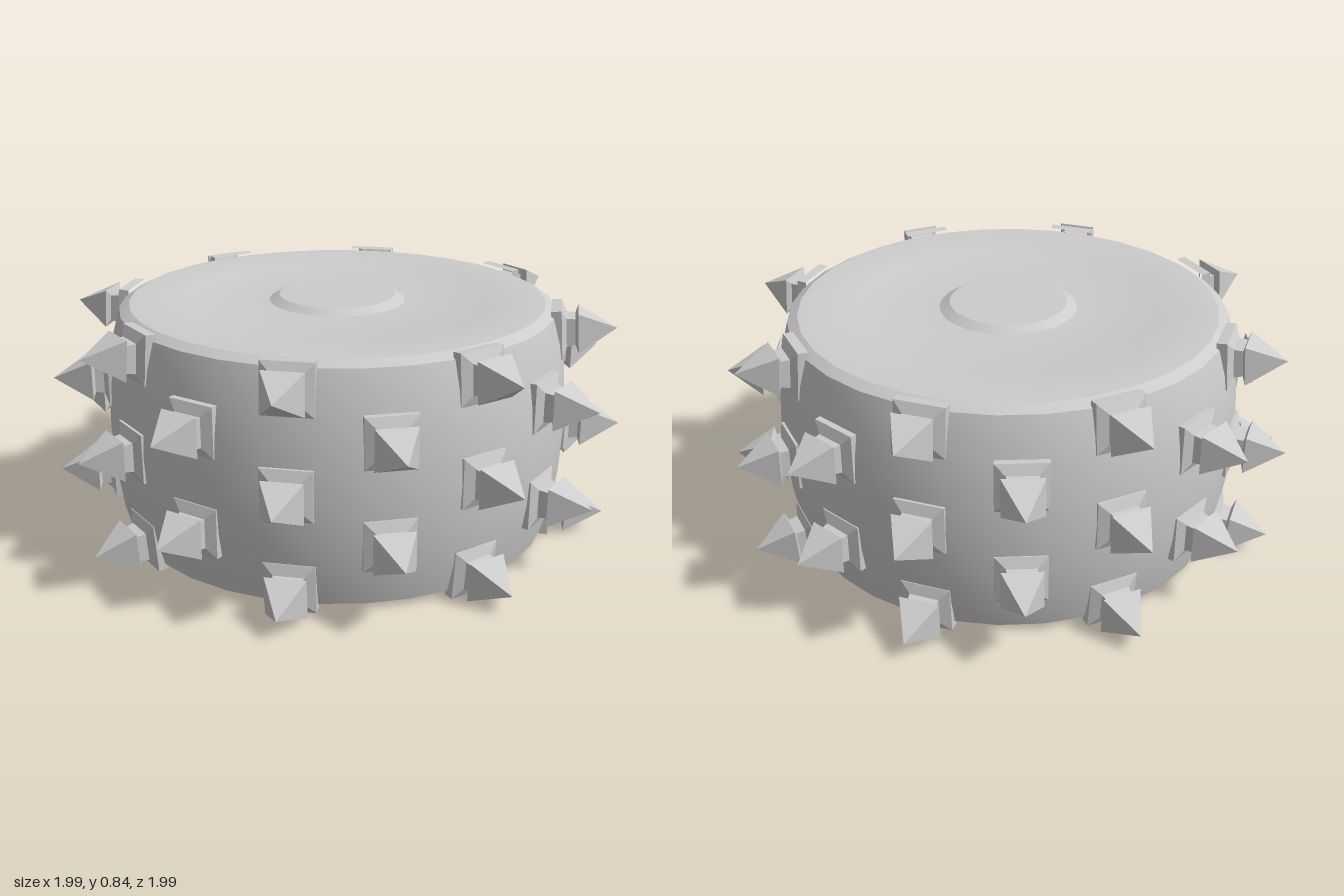
import * as THREE from 'three';
import { toCreasedNormals } from 'three/addons/utils/BufferGeometryUtils.js';

const SEGMENTS = 32;

// Revolved solid from [radius, height] pairs, with sharp edges kept
function revolve(pairs, segments, start, crease) {
  const points = pairs.map(([r, h]) => new THREE.Vector2(r, h));
  return toCreasedNormals(new THREE.LatheGeometry(points, segments, start), crease);
}

export function createModel() {
  const model = new THREE.Group();
  model.name = 'spikedWheel';
  const grey = new THREE.MeshStandardMaterial({ color: 0xcccccc });
  grey.name = 'light grey';

  const add = (name, geometry, parent = model) => {
    const mesh = new THREE.Mesh(geometry, grey);
    mesh.name = name;
    parent.add(mesh);
    return mesh;
  };

  // Wheel body: hollow underside, bulging tread, shallow dished top with raised hub
  add('wheelBody', revolve([
    [0, 0.24], [0.5, 0.24], [0.5, 0.02], [0.52, 0.005], [0.72, 0.005],
    [0.765, 0.025], [0.79, 0.12], [0.81, 0.25], [0.82, 0.42],
    [0.81, 0.59], [0.79, 0.72], [0.765, 0.81], [0.73, 0.83],
    [0.55, 0.83], [0.51, 0.82], [0.24, 0.82], [0.205, 0.84], [0, 0.84],
  ], SEGMENTS, 0, 0.42));

  // Square spike: flared foot, narrow neck, pyramid head; points along +z
  const profile = [
    [0.085, -0.03], [0.085, 0.005], [0.05, 0.02], [0.046, 0.05], [0.068, 0.06], [0, 0.19],
  ].map(([half, h]) => [half * Math.SQRT2, h]);
  const spike = revolve(profile, 4, Math.PI / 4, 0.1).rotateX(Math.PI / 2);

  // Five rows of eight, alternate rows staggered; outer rows lean outward
  const rows = [
    { y: 0.09, radius: 0.785, tilt: 0.08, offset: -16.9 },
    { y: 0.25, radius: 0.81, tilt: 0, offset: 5.6 },
    { y: 0.42, radius: 0.815, tilt: 0, offset: -16.9 },
    { y: 0.59, radius: 0.81, tilt: 0, offset: 5.6 },
    { y: 0.75, radius: 0.785, tilt: -0.08, offset: -16.9 },
  ];
  rows.forEach((row, i) => {
    const group = new THREE.Group();
    group.name = `spikeRow${i + 1}`;
    model.add(group);
    for (let k = 0; k < 8; k++) {
      const angle = THREE.MathUtils.degToRad(row.offset + 45 * k);
      const mesh = add('spike', spike, group);
      mesh.rotation.set(row.tilt, angle, 0, 'YXZ');
      mesh.position.set(Math.sin(angle) * row.radius, row.y, Math.cos(angle) * row.radius);
    }
  });

  return model;
}
